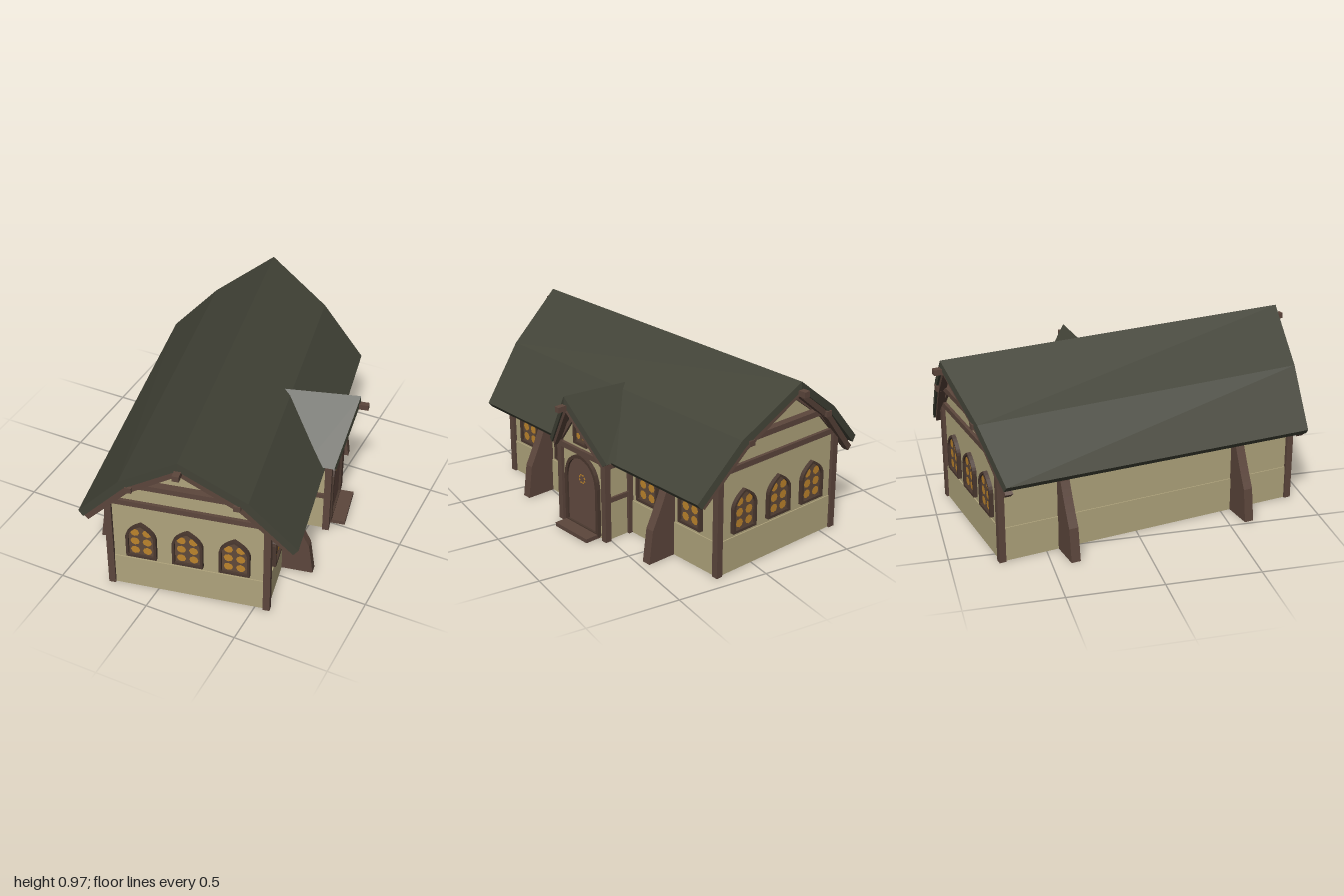
import * as THREE from 'three';

const mat = (name, color) => {
  const m = new THREE.MeshStandardMaterial({ color });
  m.name = name;
  return m;
};

export function createModel() {
  const M = {
    plaster: mat('plaster', 0xb0a47c),
    roof: mat('dark roof', 0x424337),
    timber: mat('timber', 0x5c463c),
    frame: mat('window frame', 0x4a382f),
    pane: mat('leaded pane', 0x604a3a),
    glass: mat('amber glass', 0xbd842c),
    door: mat('door wood', 0x624a40),
  };
  const add = (parent, name, geo, material, x = 0, y = 0, z = 0) => {
    const m = new THREE.Mesh(geo, material);
    m.name = name;
    m.position.set(x, y, z);
    parent.add(m);
    return m;
  };
  // box given by its centre and size
  const box = (p, name, material, x, y, z, w, h, d) =>
    add(p, name, new THREE.BoxGeometry(w, h, d), material, x, y, z);
  const sub = (p, name, x = 0, y = 0, z = 0, ry = 0) => {
    const g = new THREE.Group();
    g.name = name;
    g.position.set(x, y, z);
    g.rotation.y = ry;
    p.add(g);
    return g;
  };
  const poly = (pts) => new THREE.Shape(pts.map(([x, y]) => new THREE.Vector2(x, y)));
  const extrude = (shape, depth) =>
    new THREE.ExtrudeGeometry(shape, { depth, bevelEnabled: false, curveSegments: 6 });
  // symmetric band between two half profiles, each running from ridge to eave
  const band = (outer, inner) => {
    const flip = (a) => a.slice(1).reverse().map(([x, y]) => [-x, y]);
    return poly([...flip(outer), ...outer, ...[...inner].reverse(), ...flip(inner).reverse()]);
  };
  // sweep a band along z, placing each vertex by a rule of |x| and t in 0..1
  const sweep = (shape, zRule, yRule = () => 0) => {
    const g = extrude(shape, 1), p = g.attributes.position;
    for (let i = 0; i < p.count; i++) {
      const x = p.getX(i), t = p.getZ(i);
      p.setY(i, p.getY(i) + yRule(x, t));
      p.setZ(i, zRule(Math.abs(x), t));
    }
    g.computeVertexNormals();
    return g;
  };
  // pointed or round arch standing on y = 0
  const arch = (w, h, spring, round = 0) => {
    const s = new THREE.Shape(), a = w / 2;
    s.moveTo(-a, 0);
    s.lineTo(a, 0);
    s.lineTo(a, spring);
    s.quadraticCurveTo(a * 0.92, spring + (h - spring) * (0.55 + round), 0, h);
    s.quadraticCurveTo(-a * 0.92, spring + (h - spring) * (0.55 + round), -a, spring);
    return s;
  };
  const archFrame = (p, name, w, h, spring, t, round) => {
    const s = arch(w, h, spring, round);
    const pts = arch(w - 2 * t, h - 2 * t, spring - t, round).getPoints(6);
    pts.forEach((v) => { v.y += t; });
    s.holes.push(new THREE.Path(pts));
    add(p, name, extrude(s, 0.022), M.frame);
  };
  // arched window with rows of amber panes
  const windowAt = (p, x, y, z, ry = 0, w = 0.16, h = 0.225, rows = 3) => {
    const g = sub(p, 'window', x, y, z, ry);
    archFrame(g, 'windowFrame', w, h, h * 0.6, 0.014, 0);
    add(g, 'windowPane', extrude(arch(w - 0.01, h - 0.01, h * 0.6), 0.009), M.pane);
    const step = (h - 0.05) / rows, r = w * 0.15;
    for (let i = 0; i < rows; i++) for (const sx of [-1, 1])
      add(g, 'amberPane', new THREE.CircleGeometry(r, 8), M.glass, sx * w * 0.2, 0.045 + i * step, 0.012);
  };

  const root = new THREE.Group();
  root.name = 'cottage';
  const turn = sub(root, 'turnedHouse', 0, 0, 0, 0.2);
  const house = sub(turn, 'house', -0.01, 0, 0);
  const W = 0.41, L = 0.84;

  // main body with gables and a slightly proud plinth
  const body = extrude(poly([[-W, 0], [W, 0], [W, 0.56], [0.29, 0.69], [0, 0.915], [-0.29, 0.69], [-W, 0.56]]), 2 * L);
  add(house, 'walls', body, M.plaster, 0, 0, -L);
  box(house, 'plinth', M.plaster, 0, 0.0925, 0, 2 * W + 0.012, 0.185, 2 * L + 0.012);

  // main roof, overhanging further at the ridge than at the eaves
  const roofOut = [[0, 0.968], [0.325, 0.733], [0.565, 0.462]];
  const roofIn = [[0, 0.922], [0.3, 0.7], [0.54, 0.432]];
  const reach = (x) => 0.977 - 0.21 * x;
  add(house, 'mainRoof', sweep(band(roofOut, roofIn),
    (x, t) => (2 * t - 1) * reach(x),
    (x, t) => (x < -0.4 ? 0.01 - 0.012 * (2 * t - 1) : x > 0.4 ? -0.012 : 0.004 * (2 * t - 1))), M.roof);

  // gable timbers and windows, the same at both ends
  const rafterIn = [[0, 0.885], [0.285, 0.668], [0.515, 0.41]];
  for (const ry of [0, Math.PI]) {
    const g = sub(house, 'gableEnd', 0, 0, 0, ry);
    add(g, 'bargeRafter', sweep(band(roofIn, rafterIn), (x, t) => reach(x) - 0.05 + t * 0.038), M.timber);
    add(g, 'wallRafter', sweep(band(roofIn, rafterIn), (x, t) => L - 0.02 + t * 0.035), M.timber);
    box(g, 'lowerBeam', M.timber, 0, 0.56, L, 2 * W, 0.03, 0.035);
    box(g, 'collarBeam', M.timber, 0, 0.708, L + 0.03, 0.58, 0.03, 0.04);
    box(g, 'ridgePole', M.timber, 0, 0.908, 0.93, 0.035, 0.03, 0.17);
    for (const s of [-1, 1]) {
      box(g, 'purlinEnd', M.timber, s * 0.272, 0.705, 0.865, 0.035, 0.03, 0.12);
      box(g, 'cornerPost', M.timber, s * W, 0.28, L, 0.036, 0.56, 0.036);
    }
    for (const x of [-0.243, 0, 0.243]) windowAt(g, x, 0.21, L);
  }

  // side windows
  for (const z of [0.672, 0.356, -0.333, -0.654]) windowAt(house, W, 0.21, z, Math.PI / 2);

  // curved buttresses on both long sides
  const buttress = new THREE.Shape();
  buttress.moveTo(0.39, 0);
  buttress.lineTo(0.582, 0);
  buttress.lineTo(0.557, 0.18);
  buttress.quadraticCurveTo(0.5, 0.29, 0.455, 0.4);
  buttress.lineTo(0.44, 0.52);
  buttress.lineTo(0.39, 0.52);
  for (const ry of [0, Math.PI]) for (const z of [-0.505, 0.505]) {
    const g = sub(house, 'buttress', 0, 0, 0, ry);
    add(g, 'buttressTimber', extrude(buttress, 0.05), M.timber, 0, 0, z - 0.025);
  }

  // porch, built facing +z and turned to the left side of the house
  const porch = sub(house, 'porch', 0, 0, -0.012, Math.PI / 2);
  const F = 0.58, P = 0.18;
  add(porch, 'porchWalls', extrude(poly([[-P, 0], [P, 0], [P, 0.48], [0, 0.735], [-P, 0.48]]), F - 0.35), M.plaster, 0, 0, 0.35);
  const capOut = [[0, 0.785], [0.235, 0.462]];
  const capIn = [[0, 0.735], [0.21, 0.447]];
  const capLow = [[0, 0.695], [0.19, 0.434]];
  const capReach = (x) => 0.695 - 0.34 * x;
  add(porch, 'porchRoof', sweep(band(capOut, capIn),
    (x, t) => (1 - t) * (0.25 + 0.9 * x) + t * capReach(x),
    (x, t) => (Math.abs(x) < 0.05 ? (t - 1) * 0.03 : 0)), M.roof);
  add(porch, 'porchBargeRafter', sweep(band(capIn, capLow), (x, t) => capReach(x) - 0.045 + t * 0.035), M.timber);
  add(porch, 'porchWallRafter', sweep(band(capIn, capLow), (x, t) => F - 0.01 + t * 0.025), M.timber);
  box(porch, 'porchRidgePole', M.timber, 0, 0.724, 0.65, 0.03, 0.03, 0.18);
  box(porch, 'porchBeam', M.timber, 0, 0.445, F, 2 * P, 0.03, 0.035);
  for (const s of [-1, 1]) {
    box(porch, 'porchPost', M.timber, s * P, 0.235, F, 0.034, 0.47, 0.036);
    box(porch, 'porchWallPost', M.timber, s * P, 0.235, 0.425, 0.03, 0.47, 0.03);
    for (const y of [0.23, 0.42])
      box(porch, 'porchSideBeam', M.timber, s * P, y, 0.5, 0.026, 0.026, 0.15);
  }
  windowAt(porch, 0, 0.487, F, 0, 0.11, 0.17, 3);

  // arched door with a ring of amber panes, and its step
  const doorway = sub(porch, 'doorway', 0, 0.01, F);
  archFrame(doorway, 'doorFrame', 0.27, 0.42, 0.27, 0.018, 0.35);
  add(doorway, 'door', extrude(arch(0.255, 0.41, 0.27, 0.35), 0.01), M.door);
  for (let i = 0; i < 8; i++) {
    const a = (i + 0.5) * Math.PI / 4;
    add(doorway, 'doorPane', new THREE.CircleGeometry(0.007, 6), M.glass, Math.cos(a) * 0.022, 0.285 + Math.sin(a) * 0.022, 0.012);
  }
  box(porch, 'doorStep', M.timber, 0, 0.011, 0.62, 0.26, 0.022, 0.11);

  return root;
}
